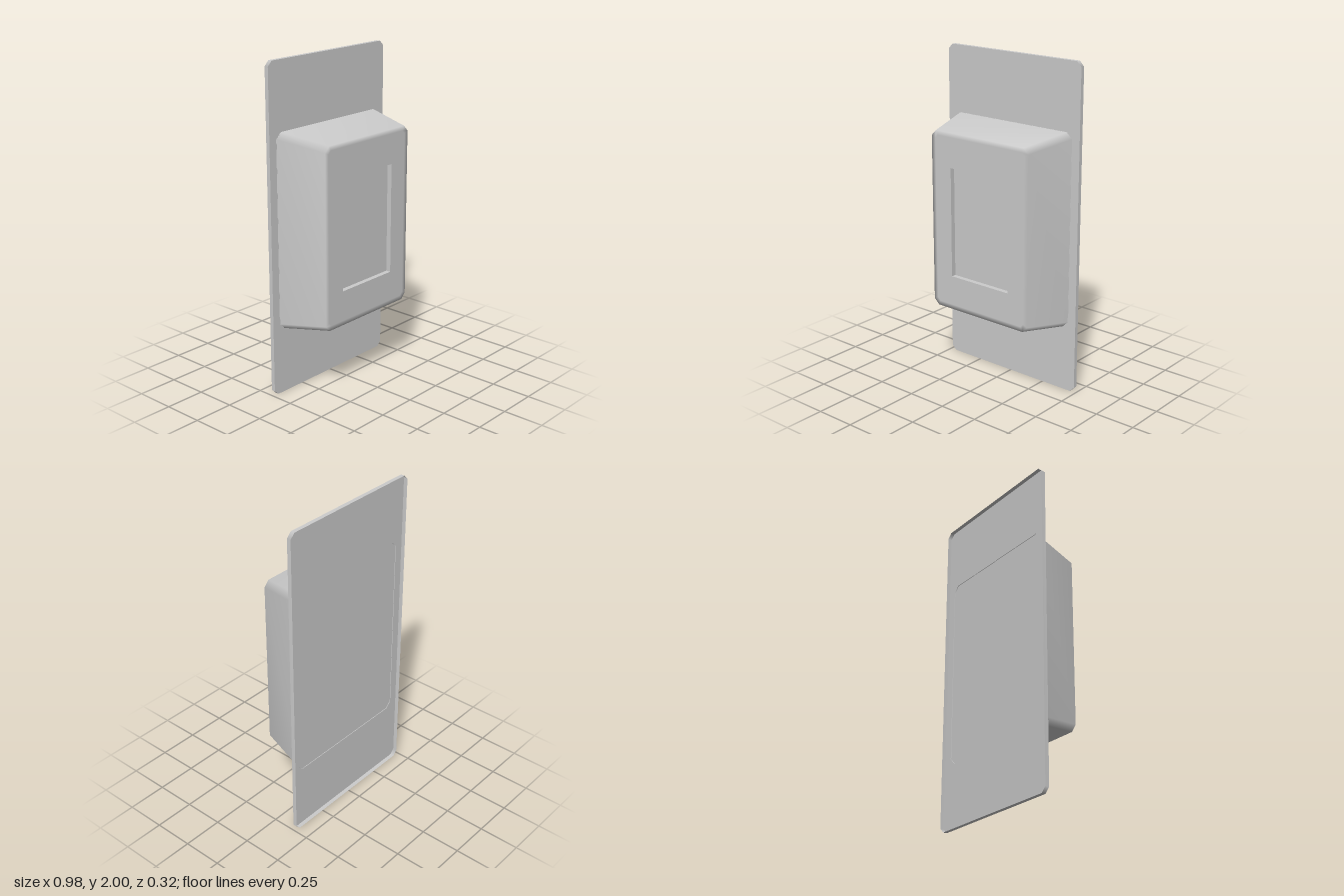
import * as THREE from 'three';

const MID = 1; // height of the centre
const material = new THREE.MeshStandardMaterial({ color: 0xcccccc, side: THREE.DoubleSide });

// Rectangle with cut corners, counter-clockwise seen from the front
function outline(hw, hh, c) {
  if (!c) return [[hw, -hh], [hw, hh], [-hw, hh], [-hw, -hh]].map(p => new THREE.Vector2(...p));
  return [[hw - c, -hh], [hw, -hh + c], [hw, hh - c], [hw - c, hh],
    [-hw + c, hh], [-hw, hh - c], [-hw, -hh + c], [-hw + c, -hh]].map(p => new THREE.Vector2(...p));
}

// Skin joining a series of outlines, each given as [points, z]
function loft(rings) {
  const n = rings[0][0].length, pos = [], index = [];
  rings.forEach(([pts, z]) => pts.forEach(p => pos.push(p.x, p.y, z)));
  for (let r = 0; r < rings.length - 1; r++) {
    for (let i = 0; i < n; i++) {
      const a = r * n + i, b = r * n + (i + 1) % n;
      index.push(a, b, b + n, a, b + n, a + n);
    }
  }
  const g = new THREE.BufferGeometry();
  g.setAttribute('position', new THREE.Float32BufferAttribute(pos, 3));
  g.setIndex(index);
  g.computeVertexNormals();
  return g;
}

// Flat sheet facing the front, with an optional opening
function sheet(outer, hole) {
  const s = new THREE.Shape(outer);
  if (hole) s.holes.push(new THREE.Path(hole));
  return new THREE.ShapeGeometry(s);
}

export function createModel() {
  const group = new THREE.Group();
  const add = (name, geometry, z = 0) => {
    const mesh = new THREE.Mesh(geometry, material);
    mesh.name = name;
    mesh.position.set(0, MID, z);
    group.add(mesh);
  };

  const back = -0.162, plateFront = -0.137, front = 0.162;
  const plate = outline(0.488, 1, 0.03);
  const base = outline(0.435, 0.592, 0.036);
  const rim = outline(0.36, 0.548, 0.034);
  const face = outline(0.332, 0.52, 0.02);
  const windowEdge = outline(0.215, 0.337, 0);

  // Mounting plate: a thin sheet with a turned-back edge, open behind
  add('plateSheet', sheet(plate, base), plateFront);
  add('plateEdge', loft([[plate, back], [plate, plateFront]]));

  // Tapered housing, softly shaded around the front, closed behind
  add('housingBack', sheet(base), plateFront + 0.003);
  add('housingWalls', loft([[base, plateFront], [rim, front], [face, front]]));
  add('housingFace', sheet(face, windowEdge), front);

  // Shallow rectangular window sunk into the face
  const depth = 0.03;
  const walls = loft([[windowEdge, front], [windowEdge, front - depth]]).toNonIndexed();
  walls.computeVertexNormals();
  add('windowWalls', walls);
  add('windowPanel', sheet(windowEdge), front - depth);

  return group;
}
